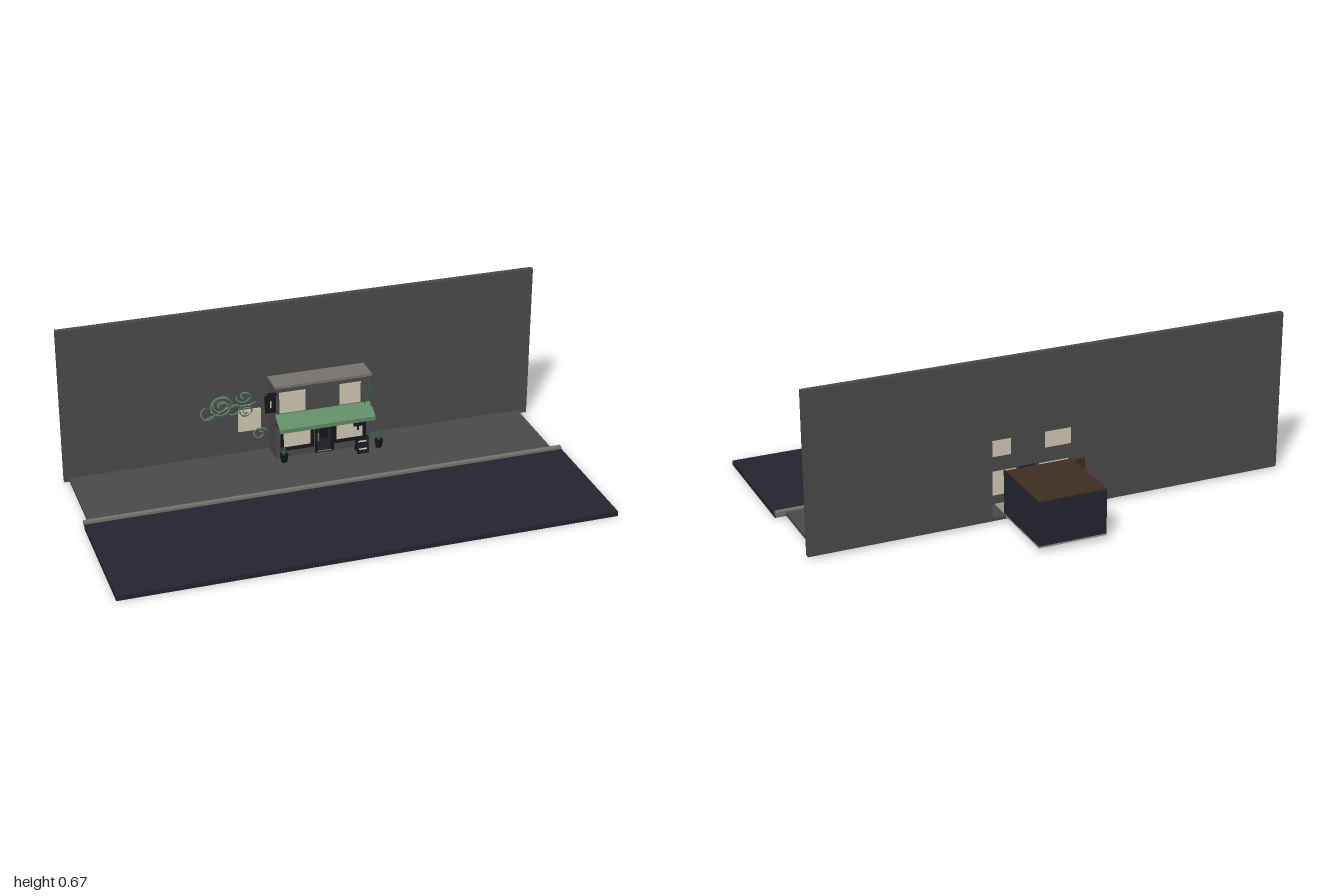
import * as THREE from 'three';

const mat = (name, color, side = THREE.FrontSide) => {
  const m = new THREE.MeshStandardMaterial({ color, side });
  m.name = name;
  return m;
};

export function createModel() {
  const root = new THREE.Group();
  root.name = 'streetShop';
  const M = {
    grey: mat('wallGrey', 0x4a4a4a),
    navy: mat('asphaltNavy', 0x242430),
    stone: mat('kerbStone', 0x77736e),
    cream: mat('windowCream', 0xd2c8b4),
    brown: mat('roofBrown', 0x3f2d22),
    green: mat('awningGreen', 0x5d8a64, THREE.DoubleSide),
    leaf: mat('leafGreen', 0x3f6b45, THREE.DoubleSide),
    black: mat('frameBlack', 0x15161a),
    floor: mat('floorBeige', 0x9a9282),
  };

  const add = (name, geo, m, parent = root) => {
    const mesh = new THREE.Mesh(geo, m);
    mesh.name = name;
    parent.add(mesh);
    return mesh;
  };
  // Box given by its limits on each axis
  const box = (name, x0, x1, y0, y1, z0, z1, m, parent) => {
    const mesh = add(name, new THREE.BoxGeometry(x1 - x0, y1 - y0, z1 - z0), m, parent);
    mesh.position.set((x0 + x1) / 2, (y0 + y1) / 2, (z0 + z1) / 2);
    return mesh;
  };
  // Upright panel with rectangular holes
  const rect = (P, [x0, x1, y0, y1]) => {
    const p = new P();
    p.moveTo(x0, y0); p.lineTo(x1, y0); p.lineTo(x1, y1); p.lineTo(x0, y1); p.closePath();
    return p;
  };
  const panel = (name, outer, holes, z0, z1, m) => {
    const s = rect(THREE.Shape, outer);
    s.holes = holes.map(h => rect(THREE.Path, h));
    const mesh = add(name, new THREE.ExtrudeGeometry(s, { depth: z1 - z0, bevelEnabled: false }), m);
    mesh.position.z = z0;
    return mesh;
  };
  const tube = (name, pts, r, m, parent, n = 40) => add(name, new THREE.TubeGeometry(
    new THREE.CatmullRomCurve3(pts.map(p => new THREE.Vector3(...p))), n, r, 5), m, parent);

  // Street
  box('road', -1, 1, 0, 0.02, 0.075, 0.622, M.navy);
  box('kerb', -1, 1, 0.01, 0.03, 0.058, 0.078, M.stone);
  box('pavement', -0.98, 0.96, 0.01, 0.025, -0.295, 0.06, M.grey);
  panel('backWall', [-1, 1, 0.01, 0.673], [[-0.14, 0.255, 0.025, 0.345]], -0.318, -0.295, M.grey);

  // Room behind the shop, open towards the street
  box('roomFloor', -0.08, 0.2, 0.02, 0.027, -0.622, -0.2, M.floor);
  box('roomCeiling', -0.08, 0.2, 0.208, 0.213, -0.622, -0.318, M.brown);
  box('roomBack', -0.08, 0.2, 0.027, 0.208, -0.622, -0.615, M.navy);
  box('roomSideRight', -0.08, -0.074, 0.027, 0.208, -0.615, -0.3, M.navy);
  box('roomSideLeft', 0.194, 0.2, 0.027, 0.208, -0.615, -0.3, M.navy);
  box('innerPanel', -0.14, -0.08, 0.025, 0.2, -0.31, -0.3, M.brown);

  // Shop front
  const upper = [[-0.128, -0.016, 0.225, 0.322], [0.128, 0.22, 0.225, 0.322]];
  const lower = [[-0.118, 0.01, 0.062, 0.165], [0.107, 0.235, 0.062, 0.165]];
  const door = [0.025, 0.1, 0.026, 0.168];
  panel('shopFront', [-0.145, 0.26, 0.025, 0.345], [...upper, ...lower, door], -0.21, -0.198, M.grey);
  for (const [x0, x1] of [[-0.145, -0.135], [0.25, 0.26]])
    box('shopSide', x0, x1, 0.025, 0.345, -0.295, -0.21, M.grey);
  box('cornice', -0.148, 0.263, 0.343, 0.354, -0.295, -0.188, M.stone);
  for (const [x0, x1, y0, y1] of [...upper, ...lower])
    box('windowPane', x0, x1, y0, y1, -0.208, -0.203, M.cream);
  for (const [x0, x1, y0, y1] of lower)
    panel('windowFrame', [x0 - 0.006, x1 + 0.006, y0 - 0.006, y1 + 0.006],
      [[x0 + 0.006, x1 - 0.006, y0 + 0.006, y1 - 0.006]], -0.203, -0.194, M.black);
  box('door', ...door, -0.209, -0.204, M.navy);
  panel('doorFrame', [0.022, 0.103, 0.025, 0.171], [[0.031, 0.094, 0.026, 0.162]], -0.204, -0.194, M.black);
  box('doorGlass', 0.045, 0.08, 0.085, 0.15, -0.204, -0.2, M.black);
  box('doorHandle', 0.036, 0.04, 0.075, 0.11, -0.204, -0.197, M.stone);

  // Awning: sloped sheet, hanging edge and stays
  const awning = new THREE.Group();
  awning.name = 'awning';
  root.add(awning);
  const sheet = new THREE.Shape([[-0.197, 0.226], [-0.131, 0.187], [-0.131, 0.17],
    [-0.134, 0.17], [-0.134, 0.185], [-0.197, 0.222]].map(p => new THREE.Vector2(...p)));
  const cloth = add('awningCloth', new THREE.ExtrudeGeometry(sheet, { depth: 0.407, bevelEnabled: false }), M.green, awning);
  cloth.rotation.y = -Math.PI / 2;
  cloth.scale.z = -1; // extrude towards +x, shape x becomes z
  cloth.position.x = -0.147;
  for (const x of [-0.145, 0.257])
    box('awningStay', x, x + 0.003, 0.184, 0.187, -0.198, -0.133, M.black, awning);

  // Wall poster and hanging sign
  box('poster', -0.275, -0.18, 0.122, 0.218, -0.295, -0.288, M.cream);
  box('hangingSign', -0.192, -0.148, 0.247, 0.322, -0.188, -0.178, M.black);
  box('signMark', -0.173, -0.167, 0.27, 0.3, -0.178, -0.176, M.cream);
  box('signArm', -0.18, -0.14, 0.322, 0.326, -0.2, -0.18, M.black);

  // Small display panel in the right-hand window
  for (let i = 0; i < 2; i++)
    box('displayShelf', 0.19, 0.235, 0.118 + i * 0.022, 0.132 + i * 0.022, -0.202, -0.196, M.black);
  box('displayPost', 0.205, 0.211, 0.1, 0.16, -0.202, -0.196, M.black);

  // Leaning pavement board
  const board = new THREE.Group();
  board.name = 'pavementBoard';
  board.position.set(0.207, 0.026, -0.145);
  root.add(board);
  for (const s of [1, -1]) {
    const leaf = box('boardLeaf', -0.026, 0.026, 0, 0.072, -0.002, 0.002, M.black, board);
    leaf.position.z = s * 0.009;
    leaf.rotation.x = -s * 0.22;
  }
  for (const y of [0.018, 0.05]) {
    const mark = box('boardStripe', -0.017, 0.017, y, y + 0.006, 0, 0.002, M.cream, board);
    mark.position.z = 0.0125 + (0.036 - mark.position.y) * 0.22;
    mark.rotation.x = -0.22;
  }

  // Curling vines on the wall: [centre x, centre y, radius, start angle, turns]
  const curls = [[-0.345, 0.255, 0.038, 0, 1.6], [-0.34, 0.245, 0.05, 1.2, 1.2], [-0.395, 0.222, 0.035, 2, 0.9],
    [-0.24, 0.215, 0.028, 1, 1.7], [-0.248, 0.282, 0.03, 3, 1.2], [-0.29, 0.235, 0.03, 4, 0.8],
    [-0.185, 0.103, 0.028, 0.5, 1.2]];
  for (const [x, y, r, a, turns] of curls) {
    const pts = [];
    for (let i = 0; i <= 14; i++) {
      const t = i / 14, k = r * (1 - 0.7 * t), w = a + t * turns * Math.PI * 2;
      pts.push([x + Math.cos(w) * k * 1.2, y + Math.sin(w) * k, -0.287 + 0.004 * Math.sin(w * 2)]);
    }
    tube('wallVine', pts, 0.0035, M.green, root, 50);
  }
  tube('vineStem', [[-0.42, 0.2, -0.288], [-0.36, 0.22, -0.288], [-0.3, 0.245, -0.288], [-0.24, 0.24, -0.288],
    [-0.2, 0.25, -0.288]], 0.003, M.green, root);

  // Trailing plant at the upper corner
  for (let i = 0; i < 4; i++) {
    const x = 0.232 + i * 0.008, z = -0.187 + (i % 2) * 0.008, end = 0.215 + (i % 3) * 0.02;
    tube('trailingStem', [[x, 0.34, z], [x + 0.005, 0.29, z + 0.003], [x - 0.003, end, z]], 0.0015, M.leaf, root, 12);
    for (let y = end; y < 0.34; y += 0.02) {
      const l = add('trailingLeaf', new THREE.CircleGeometry(0.006, 5), M.leaf);
      l.position.set(x, y, z + 0.003);
      l.rotation.set(0.4, i + y * 40, 0);
    }
  }

  // Potted plants
  const potPlant = (x, z, h) => {
    const g = new THREE.Group();
    g.name = 'pottedPlant';
    g.position.set(x, 0.025, z);
    root.add(g);
    add('pot', new THREE.CylinderGeometry(0.018, 0.013, 0.034, 12), M.black, g).position.y = 0.017;
    for (let i = 0; i < 9; i++) {
      const blade = add('blade', new THREE.ConeGeometry(0.005, h, 4), M.leaf, g);
      blade.geometry.translate(0, h / 2, 0);
      blade.position.y = 0.03;
      blade.rotation.set(0, i * 2.4, 0.12 + (i % 3) * 0.17);
    }
  };
  potPlant(-0.12, -0.165, 0.035);
  potPlant(0.288, -0.168, 0.055);
  return root;
}
